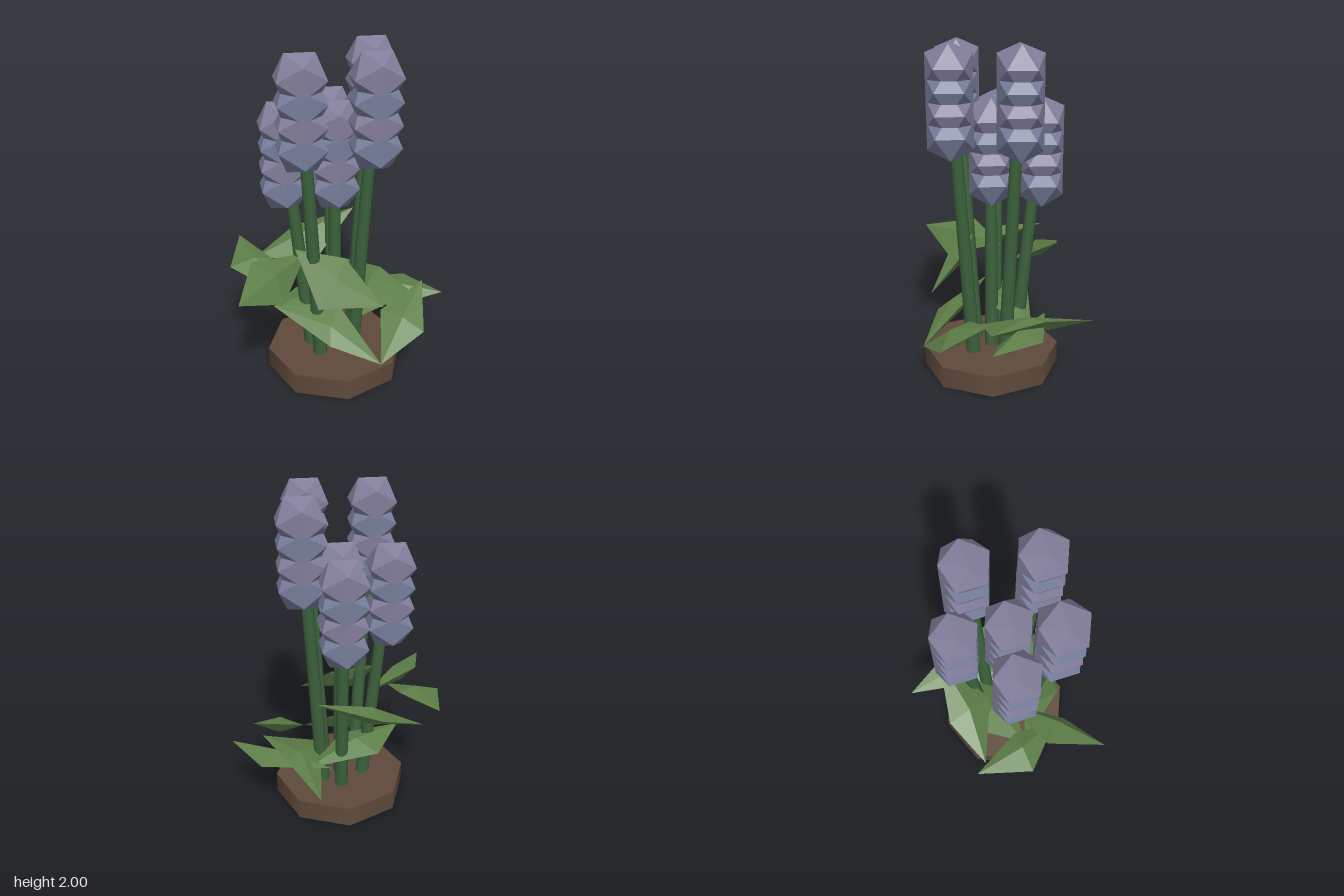
import * as THREE from 'three';

const mat = (color, flatShading, side = THREE.FrontSide) =>
  new THREE.MeshStandardMaterial({ color, flatShading, side });

const V = (p) => new THREE.Vector3(...p);

// Leaf: two tips and two side corners, with a raised crest and a lowered belly
function leafGeometry(tipA, sideA, tipB, sideB) {
  const [a, b, c, d] = [tipA, sideA, tipB, sideB].map(V);
  const normal = c.clone().sub(a).cross(d.clone().sub(b)).normalize();
  let ring = [a, b, c, d];
  if (normal.y < 0) {
    normal.negate();
    ring = [a, d, c, b];
  }
  const mid = new THREE.Vector3();
  ring.forEach((p) => mid.addScaledVector(p, 0.25));
  const crest = mid.clone().addScaledVector(normal, 0.05);
  const belly = mid.clone().addScaledVector(normal, -0.05);
  const points = [];
  ring.forEach((p, i) => {
    const q = ring[(i + 1) % 4];
    points.push(p, q, crest, q, p, belly);
  });
  const geometry = new THREE.BufferGeometry().setFromPoints(points);
  geometry.computeVertexNormals();
  return geometry;
}

export function createModel() {
  const group = new THREE.Group();
  const add = (name, geometry, material, parent = group) => {
    const mesh = new THREE.Mesh(geometry, material);
    mesh.name = name;
    parent.add(mesh);
    return mesh;
  };

  const soilMat = mat(0x5f4a3b, false);
  const stemMat = mat(0x3c623c, false);
  const leafMat = mat(0x5f8049, true, THREE.DoubleSide);
  const bloomMats = [mat(0x827e9b, true), mat(0x777e9b, true)];

  // Octagonal base
  const cx = -0.038, cz = 0.085;
  add('base', new THREE.CylinderGeometry(0.418, 0.418, 0.13, 8), soilMat).position.set(cx, 0.065, cz);

  // Flowers: [x, z, height of the top floret's centre]
  const flowers = [
    [-0.012, -0.21, 1.56], [-0.32, 0.03, 1.56], [-0.035, 0.08, 1.56],
    [0.203, -0.075, 1.87], [-0.25, 0.273, 1.87], [0.138, 0.308, 1.87],
  ];
  const floret = new THREE.IcosahedronGeometry(0.153, 0);
  for (const [x, z, top] of flowers) {
    const flower = new THREE.Group();
    flower.name = 'flower';
    group.add(flower);

    // Stem leaning outward from the base
    const foot = new THREE.Vector3(cx + (x - cx) * 0.5, 0.1, cz + (z - cz) * 0.5);
    const head = new THREE.Vector3(x, top, z);
    const axis = head.clone().sub(foot);
    const stem = add('stem', new THREE.CylinderGeometry(0.031, 0.043, axis.length(), 8), stemMat, flower);
    stem.position.copy(foot).add(head).multiplyScalar(0.5);
    stem.quaternion.setFromUnitVectors(new THREE.Vector3(0, 1, 0), axis.normalize());

    // Four overlapping florets
    for (let i = 0; i < 4; i++) {
      add('floret', floret, bloomMats[i % 2], flower).position.set(x, top - i * 0.123, z);
    }
  }

  // Leaves: tip, side, tip, side
  const leaves = [
    // lower tier
    [[0.16, 0.37, -0.52], [0.33, 0.45, -0.22], [0.455, 0.43, 0.1], [0.08, 0.32, 0.15]],
    [[0.65, 0.41, 0.1], [0.48, 0.4, -0.19], [0.06, 0.38, -0.24], [0.33, 0.31, 0.05]],
    [[0.51, 0.52, 0.11], [0.445, 0.33, 0.385], [0.155, 0.22, 0.5], [0.22, 0.41, 0.22]],
    [[-0.415, 0.44, 0.1], [-0.13, 0.33, 0.42], [0.155, 0.22, 0.5], [-0.04, 0.47, 0.2]],
    [[-0.415, 0.44, 0.1], [-0.24, 0.4, -0.16], [0.2, 0.33, -0.15], [-0.05, 0.4, 0.1]],
    // upper tier
    [[-0.5, 0.615, -0.2], [-0.225, 0.75, -0.34], [0.16, 0.87, -0.29], [-0.12, 0.66, -0.05]],
    [[-0.575, 0.75, -0.275], [-0.655, 0.71, 0.05], [-0.38, 0.63, 0.3], [-0.4, 0.72, 0.02]],
    [[-0.64, 0.73, 0.515], [-0.54, 0.8, 0.18], [-0.2, 0.74, 0.02], [-0.38, 0.61, 0.36]],
    [[-0.285, 0.85, 0.17], [-0.19, 0.57, 0.39], [0.175, 0.575, 0.44], [0.0, 0.79, 0.22]],
  ];
  for (const corners of leaves) add('leaf', leafGeometry(...corners), leafMat);

  return group;
}
